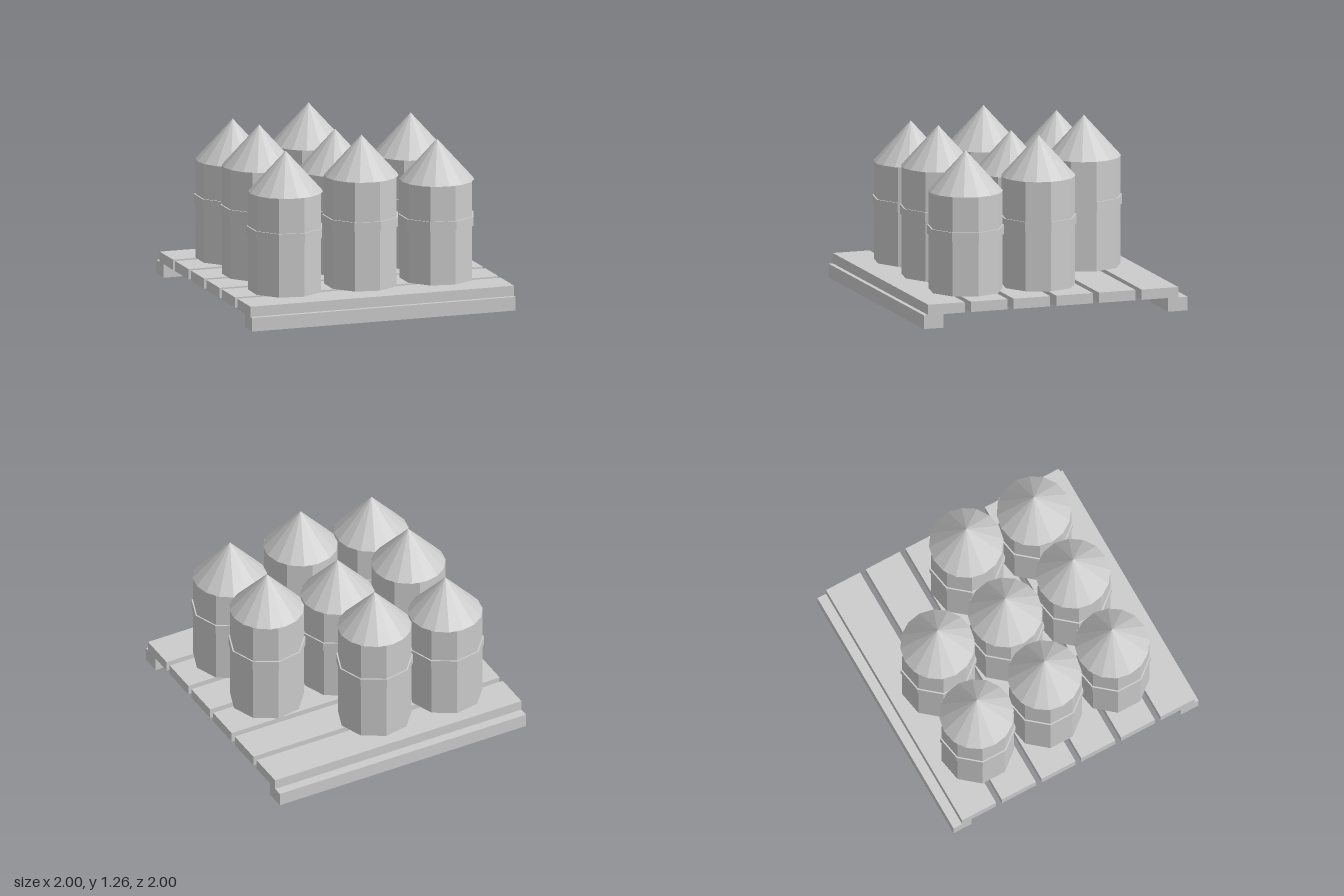
import * as THREE from 'three';

const material = new THREE.MeshStandardMaterial({ color: 0xcccccc, flatShading: true });

function addMesh(parent, name, geometry, x, y, z) {
  const mesh = new THREE.Mesh(geometry, material);
  mesh.name = name;
  mesh.position.set(x, y, z);
  parent.add(mesh);
  return mesh;
}

// Faceted drum or cone with one corner pointing along +x
const drum = (rTop, rBottom, height, sides) =>
  new THREE.CylinderGeometry(rTop, rBottom, height, sides, 1, false, Math.PI / 2);

const DECK_TOP = 0.175;

// Nine-sided tower with a raised band and a conical roof
function createTower(x, z, eaves, bandY) {
  const tower = new THREE.Group();
  tower.name = 'tower';
  tower.position.set(x, 0, z);
  const height = eaves - DECK_TOP;
  addMesh(tower, 'towerBody', drum(0.267, 0.267, height, 9), 0, DECK_TOP + height / 2, 0);
  addMesh(tower, 'towerBand', drum(0.278, 0.278, 0.067, 9), 0, bandY, 0);
  addMesh(tower, 'towerRoof', drum(0, 0.267, 0.294, 16), 0, eaves + 0.147, 0);
  return tower;
}

// Slatted deck on two runners
function createDeck() {
  const deck = new THREE.Group();
  deck.name = 'deck';
  for (let i = 0; i < 6; i++) {
    addMesh(deck, 'plank', new THREE.BoxGeometry(2, 0.075, 0.278), 0, 0.1375, 0.829 - i * 0.324);
  }
  for (const side of [1, -1]) {
    addMesh(deck, 'runner', new THREE.BoxGeometry(2, 0.1, 0.147), 0, 0.05, side * 0.9265);
  }
  return deck;
}

export function createModel() {
  const model = new THREE.Group();
  model.name = 'towersOnDeck';
  model.add(createDeck());

  // Three by three layout, alternating heights, one back corner left empty
  const columns = [-0.575, 0, 0.574];
  const rows = [0.53, -0.022, -0.575];
  rows.forEach((z, r) => columns.forEach((x, c) => {
    if (r === 2 && c === 2) return;
    const short = (r + c) % 2 === 0;
    model.add(short ? createTower(x, z, 0.897, 0.607) : createTower(x, z, 0.971, 0.647));
  }));
  return model;
}
